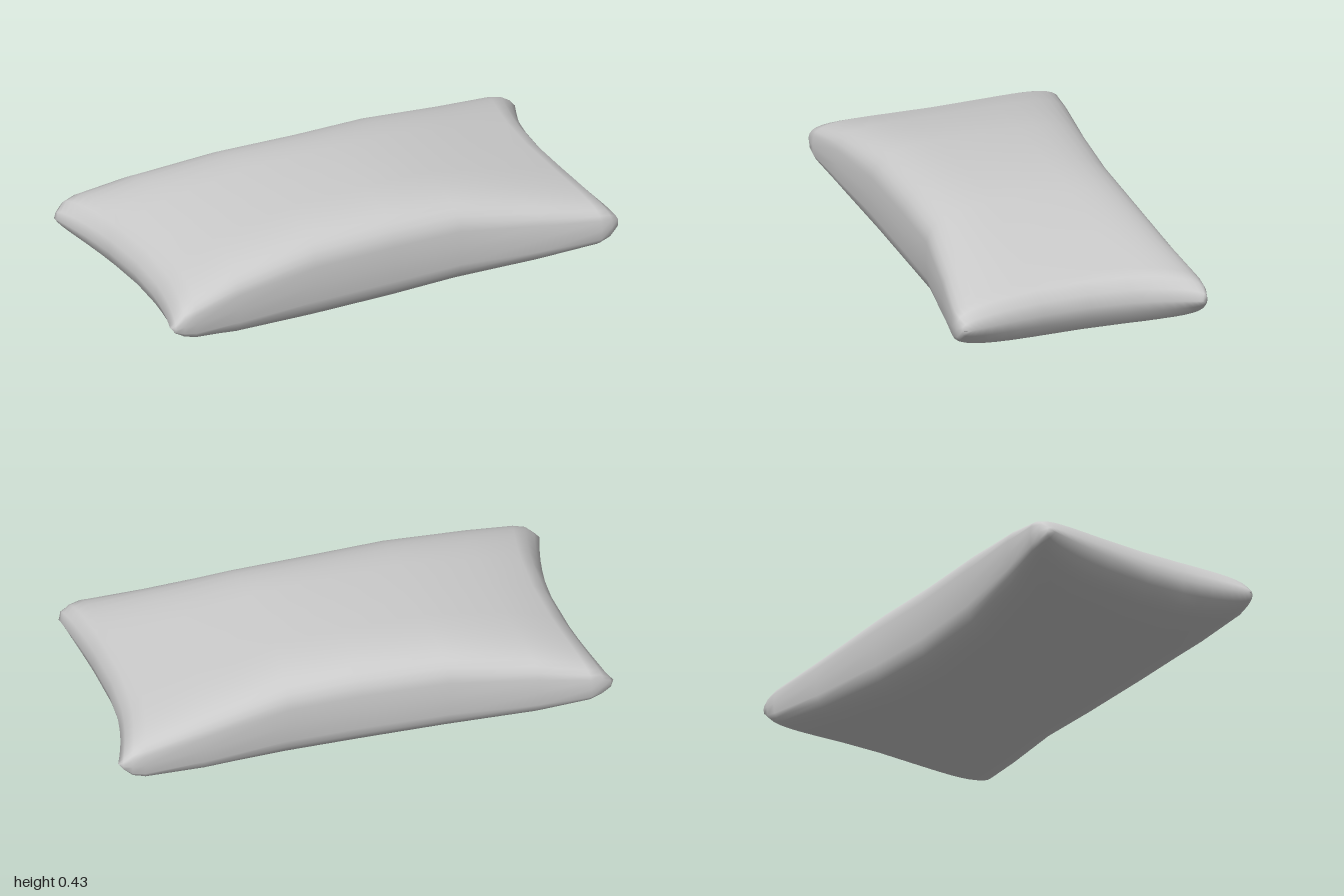
import * as THREE from 'three';
import { mergeVertices } from 'three/addons/utils/BufferGeometryUtils.js';

// Cross-sections along the length: [s, top, bottom, front z, back z]
const stations = [
  [-1, 0.21, 0.21, 0.435, -0.52],
  [-0.985, 0.25, 0.165, 0.455, -0.54],
  [-0.95, 0.3, 0.13, 0.466, -0.555],
  [-0.9, 0.325, 0.105, 0.47, -0.56],
  [-0.7, 0.382, 0.052, 0.45, -0.525],
  [-0.35, 0.432, 0.014, 0.435, -0.465],
  [0, 0.43, 0.004, 0.437, -0.435],
  [0.3, 0.421, 0.01, 0.447, -0.43],
  [0.65, 0.355, 0.037, 0.505, -0.455],
  [0.9, 0.305, 0.08, 0.555, -0.475],
  [0.95, 0.284, 0.105, 0.552, -0.472],
  [0.985, 0.245, 0.155, 0.54, -0.462],
  [1, 0.2, 0.2, 0.51, -0.44],
];
const RING = 40;
const ROUND = 2 / 3.7; // boxy superellipse exponent

const power = (v) => Math.sign(v) * Math.pow(Math.abs(v), ROUND);

// Concave ends: how far the end reaches at v, from back (-1) to front (1)
function endReach(s, v) {
  if (s < 0) return 0.925 + 0.075 * v * v;
  return 0.9 + (v > 0 ? 0.043 : 0.1) * v * v;
}

function pillowGeometry() {
  const geometry = new THREE.PlaneGeometry(1, 1, stations.length - 1, RING);
  const position = geometry.attributes.position;
  for (let j = 0; j <= RING; j++) {
    const angle = (-2 * Math.PI * (j % RING)) / RING;
    const v = power(Math.cos(angle));
    const w = power(Math.sin(angle));
    stations.forEach(([s, top, bottom, front, back], i) => {
      // ends are slightly fuller between the corners
      const full = 1 + 0.15 * (1 - v * v) * s ** 8;
      const y = (top + bottom) / 2 + (w * full * (top - bottom)) / 2;
      const z = v > 0 ? v * front : -v * back;
      position.setXYZ(j * stations.length + i, s * endReach(s, v), y, z);
    });
  }
  // weld the seam and the closed ends, then smooth
  geometry.deleteAttribute('uv');
  geometry.deleteAttribute('normal');
  const welded = mergeVertices(geometry, 1e-4);
  welded.computeVertexNormals();
  return welded;
}

export function createModel() {
  const group = new THREE.Group();
  group.name = 'pillow';
  const cushion = new THREE.Mesh(
    pillowGeometry(),
    new THREE.MeshStandardMaterial({ color: 0xcccccc })
  );
  cushion.name = 'cushion';
  group.add(cushion);
  return group;
}
